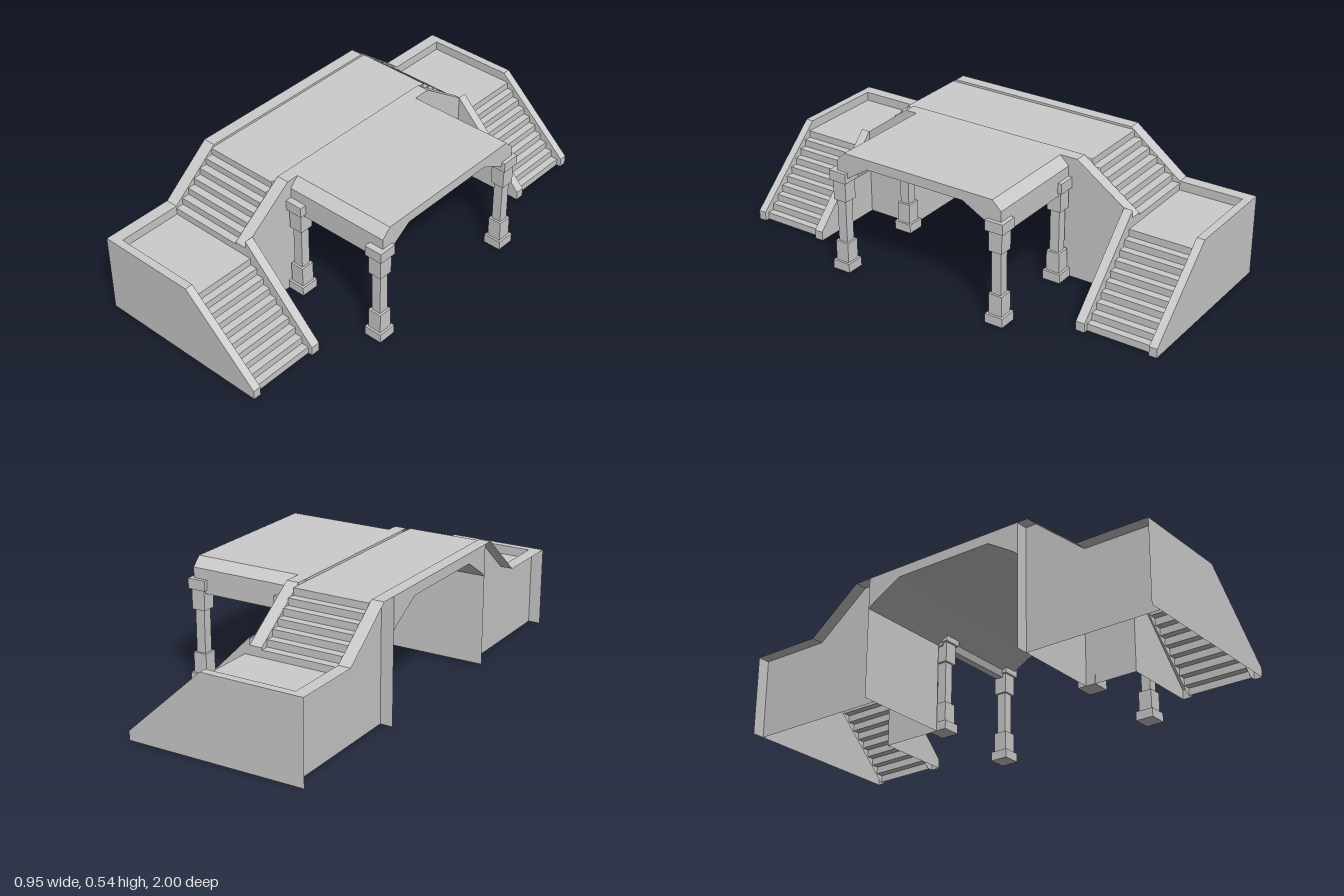
import * as THREE from 'three';

const solid = new THREE.MeshStandardMaterial({ color: 0xcccccc, flatShading: true });
const thin = new THREE.MeshStandardMaterial({ color: 0xcccccc, flatShading: true, side: THREE.DoubleSide });

// Main levels and x positions
const X0 = -0.475, X1 = -0.42, X2 = -0.08, X3 = -0.025, XE = 0.32;
const RIM = 0.355, FLOOR = 0.315, DECK = 0.53, TOP = 0.54;

function add(parent, name, geometry, material = thin) {
  const mesh = new THREE.Mesh(geometry, material);
  mesh.name = name;
  parent.add(mesh);
  return mesh;
}

// Flat panel from an outline: (x, y) at constant z, or (z, y) at constant x
function panel(parent, name, axis, c, outline) {
  const g = new THREE.ShapeGeometry(new THREE.Shape(outline.map(p => new THREE.Vector2(...p))));
  const pos = g.attributes.position;
  for (let i = 0; i < pos.count; i++) {
    const u = pos.getX(i), v = pos.getY(i);
    if (axis === 'x') pos.setXYZ(i, c, v, u);
    else pos.setXYZ(i, u, v, c);
  }
  g.computeVertexNormals();
  return add(parent, name, g);
}

// Strip of quads swept between two parallel values on an axis
function ribbon(parent, name, axis, a, b, path) {
  const at = (c, [u, v]) => axis === 'x' ? [c, v, u] : [u, v, c];
  const verts = [];
  for (let i = 0; i + 1 < path.length; i++) {
    const p = at(a, path[i]), q = at(b, path[i]), r = at(b, path[i + 1]), s = at(a, path[i + 1]);
    verts.push(...p, ...q, ...r, ...p, ...r, ...s);
  }
  const g = new THREE.BufferGeometry();
  g.setAttribute('position', new THREE.Float32BufferAttribute(verts, 3));
  g.computeVertexNormals();
  return add(parent, name, g);
}

// Solid with a (z, y) profile running along x
function extrudeX(parent, name, xa, xb, profile) {
  const shape = new THREE.Shape(profile.map(([z, y]) => new THREE.Vector2(-z, y)));
  const g = new THREE.ExtrudeGeometry(shape, { depth: xb - xa, bevelEnabled: false });
  g.rotateY(Math.PI / 2).translate(xa, 0, 0);
  return add(parent, name, g, solid);
}

function box(parent, name, x0, x1, y0, y1, z0, z1) {
  const g = new THREE.BoxGeometry(x1 - x0, y1 - y0, z1 - z0);
  g.translate((x0 + x1) / 2, (y0 + y1) / 2, (z0 + z1) / 2);
  return add(parent, name, g, solid);
}

// Stepped path rising from (u0, v0) to (u1, v1)
function steps(u0, v0, u1, v1, n) {
  const path = [[u0, v0]];
  for (let i = 0; i < n; i++) {
    const v = v0 + (v1 - v0) * (i + 1) / n;
    path.push([u0 + (u1 - u0) * i / n, v], [u0 + (u1 - u0) * (i + 1) / n, v]);
  }
  return path;
}

// One end: landing, upper and lower stairs, hollow walls. s is the z sign.
function stairEnd(s, wallZ, topZ) {
  const g = new THREE.Group();
  g.name = s > 0 ? 'frontStairs' : 'backStairs';
  const Z = path => path.map(([z, y]) => [z * s, y]);

  // Walls
  panel(g, 'endWall', 'z', s, [[X0, 0], [XE, 0], [XE, 0.04], [X3, RIM], [X0, RIM]]);
  panel(g, 'sideWall', 'x', X1,
    Z([[wallZ, 0], [1, 0], [1, RIM], [0.68, RIM], [topZ, TOP], [wallZ, TOP]]));
  panel(g, 'innerSideWall', 'x', X3,
    Z([[wallZ, 0], [0.64, 0], [0.64, 0.388], [topZ - 0.02, TOP], [wallZ, TOP]]));
  panel(g, 'archWall', 'z', s * wallZ, [[X0, 0], [X3, 0], [X3, 0.42], [X0, 0.42]]);
  panel(g, 'stairWall', 'z', s * 0.64, [[X3, 0], [XE, 0], [XE, 0.04], [X3, 0.388]]);

  // Parapet tops and inner lips
  ribbon(g, 'outerParapet', 'x', X0, X1, Z([[1, RIM], [0.68, RIM], [topZ, TOP], [wallZ, TOP]]));
  ribbon(g, 'innerParapet', 'x', X2, X3, Z([[0.68, RIM], [topZ - 0.02, TOP], [wallZ, TOP]]));
  panel(g, 'innerParapetLip', 'x', X2,
    Z([[0.68, FLOOR - 0.02], [0.68, RIM], [topZ - 0.02, TOP], [topZ - 0.02, 0.48]]));
  panel(g, 'innerParapetEnd', 'z', s * 0.68, [[X2, FLOOR], [X3, FLOOR], [X3, RIM], [X2, RIM]]);
  ribbon(g, 'endParapet', 'z', s * 0.965, s, [[X1, RIM], [X3, RIM], [XE, 0.04], [XE, 0]]);
  panel(g, 'endParapetLip', 'z', s * 0.965,
    [[X1, FLOOR], [X3, FLOOR - 0.02], [XE - 0.03, 0], [XE, 0], [XE, 0.04], [X3, RIM], [X1, RIM]]);
  ribbon(g, 'stairRail', 'z', s * 0.64, s * 0.68, [[X3, 0.388], [XE, 0.04], [XE, 0]]);
  panel(g, 'stairRailLip', 'z', s * 0.68,
    [[X3, FLOOR - 0.02], [XE - 0.03, 0], [XE, 0], [XE, 0.04], [X3, 0.388]]);

  // Floor and flights
  ribbon(g, 'landing', 'x', X1, X3 - 0.01, Z([[0.68, FLOOR], [0.965, FLOOR]]));
  ribbon(g, 'upperSteps', 'x', X1, X2, Z(steps(0.68, FLOOR, topZ - 0.02, DECK, 7)));
  ribbon(g, 'lowerSteps', 'z', s * 0.68, s * 0.965, steps(0.3, 0, X3 - 0.01, FLOOR, 10));
  return g;
}

// Square column with stepped base and capital
function post(x, z) {
  const g = new THREE.Group();
  g.name = 'post';
  const tiers = [['base', 0.082, 0, 0.04], ['plinth', 0.062, 0.04, 0.13], ['shaft', 0.043, 0.13, 0.32],
    ['neck', 0.062, 0.32, 0.41], ['capital', 0.082, 0.41, 0.455]];
  for (const [name, w, y0, y1] of tiers) box(g, name, -w / 2, w / 2, y0, y1, -w / 2, w / 2);
  g.position.set(x, 0, z);
  return g;
}

export function createModel() {
  const model = new THREE.Group();
  model.name = 'footbridge';

  model.add(stairEnd(1, 0.405, 0.455), stairEnd(-1, 0.365, 0.44));

  // Bridge deck with its arched underside
  extrudeX(model, 'bridgeDeck', X0, X3, [[0.405, 0.4], [0.405, DECK], [-0.365, DECK], [-0.365, 0.4],
    [-0.335, 0.42], [-0.2, 0.495], [0.26, 0.495], [0.38, 0.42]]);
  box(model, 'deckEnd', X1, X2, DECK - 0.01, DECK, 0.405, 0.435);
  box(model, 'deckEnd', X1, X2, DECK - 0.01, DECK, -0.42, -0.365);
  for (const [a, b] of [[X0, X1], [X2, X3]]) box(model, 'curb', a, b, DECK - 0.02, TOP, -0.365, 0.405);

  // Side platform with chamfered edges
  extrudeX(model, 'platform', X3, 0.457, [[0.42, 0.395], [0.42, 0.5], [0.38, TOP], [-0.34, TOP],
    [-0.38, 0.5], [-0.38, 0.395], [-0.345, 0.395], [-0.335, 0.425], [-0.2, 0.497], [0.265, 0.497],
    [0.375, 0.425], [0.385, 0.395]]);

  for (const x of [0.013, 0.4325]) for (const z of [0.408, -0.357]) model.add(post(x, z));
  return model;
}
